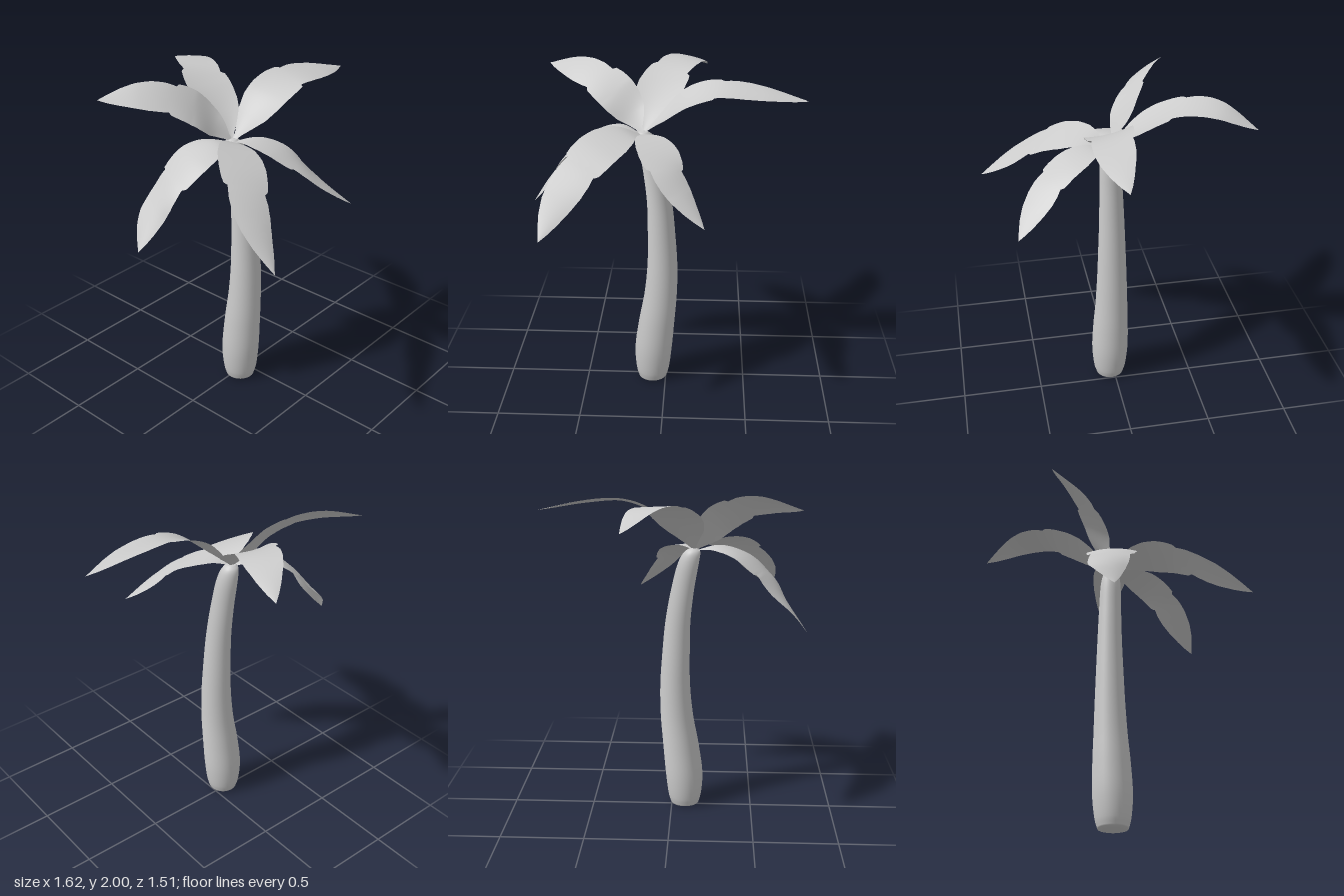
import * as THREE from 'three';

const material = new THREE.MeshStandardMaterial({ color: 0xcccccc });
const leafMaterial = new THREE.MeshStandardMaterial({ color: 0xcccccc, side: THREE.DoubleSide });
const ROOT = [-0.135, 1.635, 0.02];

// Half-width profiles of the two sides of a leaf, each torn by one notch: [t, width]
const PLUS_SIDE = [[0, 0.05], [0.05, 0.18], [0.11, 0.45], [0.18, 0.74], [0.27, 0.93], [0.36, 1], [0.43, 0.99],
  [0.475, 0.94], [0.488, 0.79], [0.56, 0.85], [0.65, 0.83], [0.75, 0.71], [0.85, 0.49], [0.93, 0.25], [1, 0]];
const MINUS_SIDE = [[0, 0.05], [0.05, 0.18], [0.11, 0.45], [0.18, 0.76], [0.27, 0.95], [0.36, 1], [0.45, 0.96],
  [0.52, 0.87], [0.535, 0.72], [0.6, 0.77], [0.68, 0.74], [0.77, 0.61], [0.87, 0.39], [0.94, 0.2], [1, 0]];

function sample(profile, t) {
  let i = 1;
  while (i < profile.length - 1 && profile[i][0] < t) i++;
  const [a, b] = [profile[i - 1], profile[i]];
  return THREE.MathUtils.lerp(a[1], b[1], (t - a[0]) / (b[0] - a[0]));
}

// Thin curved leaf swept along its midrib; tilt raises the plus side,
// cup lifts both edges near the root, easing to a slight droop at the tip
function makeLeaf({ name, rib, width, tilt, cup }) {
  const curve = new THREE.CatmullRomCurve3([ROOT, ...rib].map(p => new THREE.Vector3(...p)));
  const rows = 80, cols = 8, angle = THREE.MathUtils.degToRad(tilt);
  const positions = [], index = [];
  for (let i = 0; i <= rows; i++) {
    const t = i / rows;
    const p = curve.getPointAt(t), d = curve.getTangentAt(t);
    const side = new THREE.Vector3(-d.z, 0, d.x).normalize().applyAxisAngle(d, -angle);
    const up = side.clone().cross(d);
    const lift = THREE.MathUtils.lerp(cup, -0.12, t);
    for (let j = 0; j <= cols; j++) {
      const u = j / cols * 2 - 1;
      const w = u * width * sample(u > 0 ? PLUS_SIDE : MINUS_SIDE, t);
      const q = p.clone().addScaledVector(side, w).addScaledVector(up, lift * Math.abs(w * u));
      positions.push(q.x, q.y, q.z);
      if (i < rows && j < cols) {
        const a = i * (cols + 1) + j, b = a + cols + 1;
        index.push(a, a + 1, b, a + 1, b + 1, b);
      }
    }
  }
  const geometry = new THREE.BufferGeometry();
  geometry.setAttribute('position', new THREE.Float32BufferAttribute(positions, 3));
  geometry.setIndex(index);
  geometry.computeVertexNormals();
  const mesh = new THREE.Mesh(geometry, leafMaterial);
  mesh.name = name;
  return mesh;
}

// Tapered trunk, turned around a gently bending centre line
function makeTrunk() {
  // [y, centre x, radius]
  const stations = [[0.01, -0.083, 0.088], [0.06, -0.082, 0.102], [0.2, -0.078, 0.116], [0.4, -0.057, 0.112],
    [0.6, -0.031, 0.101], [0.8, -0.02, 0.092], [1, -0.025, 0.084], [1.2, -0.036, 0.076],
    [1.4, -0.064, 0.069], [1.58, -0.103, 0.06], [1.63, -0.122, 0.046], [1.65, -0.13, 0.025]];
  const spine = new THREE.CatmullRomCurve3(stations.map(([y, x, r]) => new THREE.Vector3(x, y, r)));
  const samples = spine.getPoints(66);
  const profile = [new THREE.Vector2(0, 0.012), new THREE.Vector2(0.06, 0.002),
    ...samples.map(s => new THREE.Vector2(s.z, s.y)), new THREE.Vector2(0, 1.653)];
  const centres = [samples[0].x, samples[0].x, ...samples.map(s => s.x), samples[66].x];
  const geometry = new THREE.LatheGeometry(profile, 32);
  const pos = geometry.attributes.position;
  for (let i = 0; i < pos.count; i++) {
    pos.setX(i, pos.getX(i) + centres[i % profile.length]);
    pos.setZ(i, pos.getZ(i) + 0.027 - 0.008 * pos.getY(i));
  }
  const mesh = new THREE.Mesh(geometry, material);
  mesh.name = 'trunk';
  return mesh;
}

const LEAVES = [
  { name: 'leftLeaf', width: 0.138, tilt: -11, cup: 0.22,
    rib: [[0, 1.75, 0.05], [0.14, 1.865, 0.067], [0.3, 1.92, 0.075], [0.54, 1.912, 0.085], [0.81, 1.86, 0.078]] },
  { name: 'backLeaf', width: 0.144, tilt: -6, cup: 0.2,
    rib: [[-0.08, 1.76, -0.11], [-0.02, 1.88, -0.27], [0.045, 1.95, -0.41], [0.13, 1.955, -0.56], [0.235, 1.86, -0.76]] },
  { name: 'backRightLeaf', width: 0.122, tilt: 38, cup: 0.1,
    rib: [[-0.2, 1.735, -0.05], [-0.3, 1.85, -0.115], [-0.42, 1.92, -0.19], [-0.55, 1.95, -0.28], [-0.727, 1.94, -0.425]] },
  { name: 'rightLeaf', width: 0.152, tilt: 0, cup: -0.15,
    rib: [[-0.27, 1.67, -0.005], [-0.42, 1.63, -0.025], [-0.55, 1.525, -0.055], [-0.67, 1.37, -0.085], [-0.81, 1.165, -0.077]] },
  { name: 'frontRightLeaf', width: 0.138, tilt: 17, cup: 0.03,
    rib: [[-0.23, 1.675, 0.13], [-0.35, 1.645, 0.28], [-0.445, 1.57, 0.4], [-0.54, 1.45, 0.54], [-0.643, 1.27, 0.753]] },
  { name: 'frontLeftLeaf', width: 0.122, tilt: 2, cup: 0.03,
    rib: [[-0.1, 1.655, 0.12], [-0.04, 1.625, 0.25], [0.02, 1.55, 0.37], [0.1, 1.445, 0.47], [0.235, 1.293, 0.6]] },
];

export function createModel() {
  const model = new THREE.Group();
  model.name = 'palmTree';
  model.add(makeTrunk());
  const crown = new THREE.Group();
  crown.name = 'crown';
  LEAVES.forEach(leaf => crown.add(makeLeaf(leaf)));
  model.add(crown);
  return model;
}
